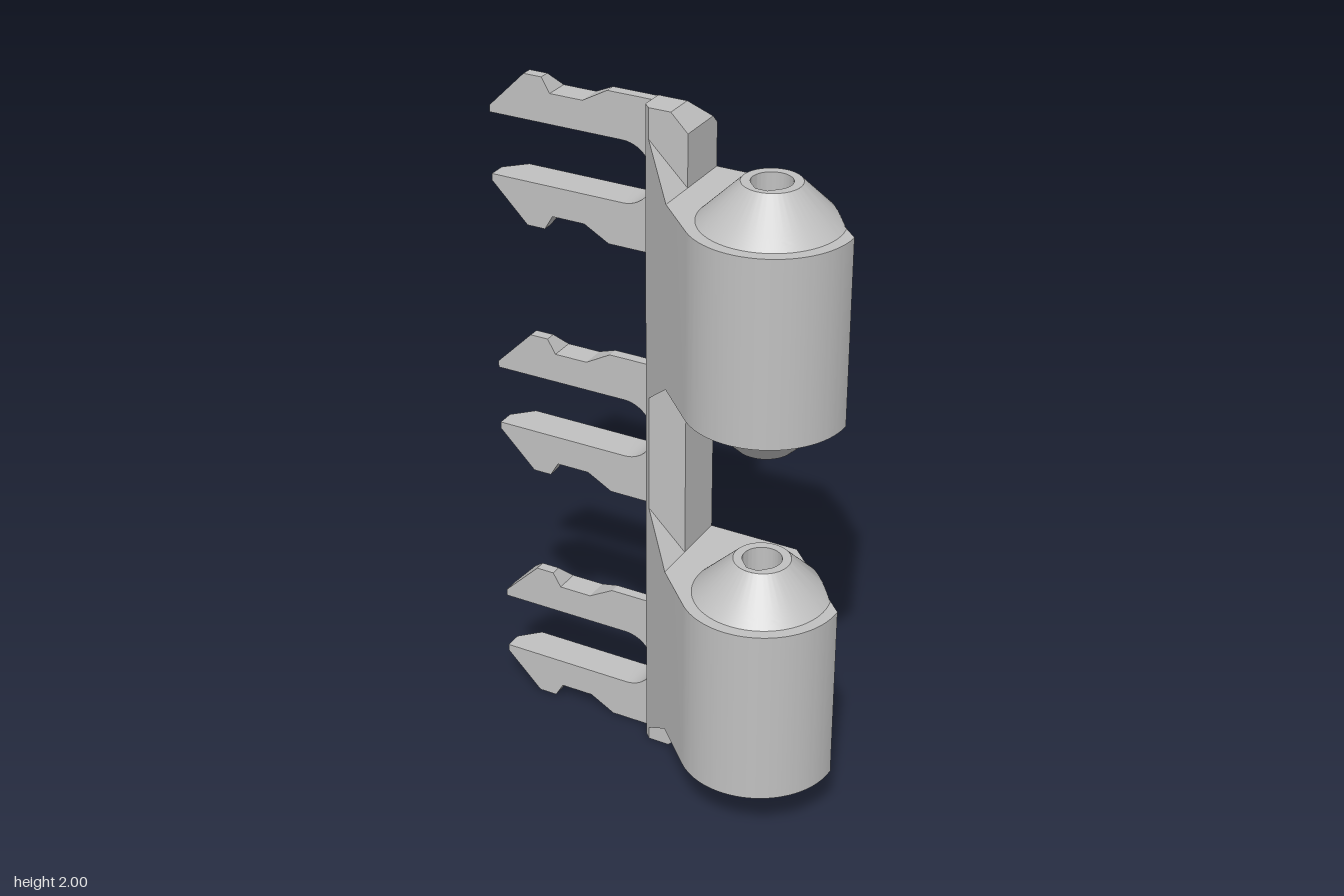
import * as THREE from 'three';
import { toCreasedNormals } from 'three/addons/utils/BufferGeometryUtils.js';

const grey = new THREE.MeshStandardMaterial({ color: 0xc0c0c0 });
grey.name = 'light grey';

const BACK = -0.235, SPINE_LEFT = -0.07, SPINE_RIGHT = 0.065;
const CX = 0.345, CZ = 0.01; // pin axis of the knuckles

function part(name, geometry, crease = 0.5) {
  const mesh = new THREE.Mesh(toCreasedNormals(geometry, crease), grey);
  mesh.name = name;
  return mesh;
}

// Skin and cap a row of convex sections (arrays of [x, y, z]), facing outward
function loft(sections) {
  const n = sections[0].length, pos = sections.flat(2), tris = [];
  for (let s = 0; s < sections.length - 1; s++) {
    for (let i = 0; i < n; i++) {
      const a = s * n + i, b = s * n + (i + 1) % n;
      tris.push([a, b, b + n], [a, b + n, a + n]);
    }
  }
  const last = (sections.length - 1) * n;
  for (let i = 1; i < n - 1; i++) {
    tris.push([0, i + 1, i], [last, last + i, last + i + 1]);
  }
  const v = (i) => new THREE.Vector3().fromArray(pos, i * 3);
  const volume = tris.reduce((sum, [a, b, c]) => sum + v(a).dot(v(b).cross(v(c))), 0);
  const geo = new THREE.BufferGeometry();
  geo.setAttribute('position', new THREE.Float32BufferAttribute(pos, 3));
  geo.setIndex(tris.flatMap(([a, b, c]) => (volume > 0 ? [a, b, c] : [a, c, b])));
  return geo;
}

// Extrude a plan shape (x, -z) upward from y0 to y1
function upright(shape, y0, y1) {
  return new THREE.ExtrudeGeometry(shape, { depth: y1 - y0, bevelEnabled: false, curveSegments: 32 })
    .rotateX(-Math.PI / 2).translate(0, y0, 0);
}

// Spine: bevelled at the back and right of both ends
function spine() {
  return part('spine', loft([0, 0.05, 0.075, 1.925, 1.95, 2].map((y) => {
    const end = Math.min(y, 2 - y);
    const xr = Math.min(SPINE_RIGHT, 0.015 + end), zb = Math.max(BACK, -0.16 - end);
    return [[SPINE_LEFT, y, zb], [SPINE_LEFT, y, -0.09], [-0.05, y, -0.07], [xr, y, -0.07], [xr, y, zb]];
  })), 0.2);
}

// One prong of a clip: outer edge notched and bevelled, inner edge rounding into the slot
const edge = [[-0.57, 0.11], [-0.46, 0.22], [-0.405, 0.22], [-0.38, 0.178], [-0.28, 0.178], [-0.205, 0.22], [-0.07, 0.22]];
function outerEdge(x) {
  const i = Math.max(1, edge.findIndex((p) => p[0] >= x - 1e-9));
  const [[x0, y0], [x1, y1]] = [edge[i - 1], edge[i]];
  return y0 + (y1 - y0) * (x - x0) / (x1 - x0);
}
function prong(name, centre, side) {
  const R = 0.09, slotX = SPINE_LEFT - R;
  const stations = [-0.57, -0.525, -0.515, -0.46, -0.405, -0.38, -0.28, -0.205];
  for (let i = 0; i <= 12; i++) stations.push(slotX + R * Math.sin(i / 12 * Math.PI / 2));
  stations[stations.length - 1] = SPINE_LEFT;
  return part(name, loft(stations.map((x) => {
    const dx = Math.max(0, x - slotX);
    const inner = Math.sqrt(Math.max(0, R * R - dx * dx)), outer = outerEdge(x);
    const zb = Math.max(BACK, -0.75 - x);
    const zc = Math.max(-0.16 - (0.22 - outer), zb);
    const bevel = Math.min(outer, 0.38 + zb);
    return [[inner, -0.128], [outer, -0.128], [outer, zc], [bevel, zb], [inner, zb]]
      .map(([y, z]) => [x, centre + side * y, z]);
  })), 0.3);
}

// Plan of the knuckle body: round front, flat back, slanted back corner
function bodyShape() {
  const s = new THREE.Shape();
  s.moveTo(SPINE_RIGHT, -BACK);
  s.lineTo(SPINE_RIGHT, -0.048);
  s.absarc(CX, -CZ, 0.225, Math.PI * 1.25, Math.PI * 2, false);
  s.lineTo(0.57, 0);
  s.lineTo(0.335, -BACK);
  s.closePath();
  s.holes.push(new THREE.Path().absarc(CX, -CZ, 0.07, 0, Math.PI * 2, true));
  return s;
}

// Sleeve with a teardrop bore flattened at its front
function sleeveShape() {
  const s = new THREE.Shape().absarc(CX, -CZ, 0.08, 0, Math.PI * 2, false);
  const bore = new THREE.Path();
  bore.absarc(CX, -CZ, 0.055, -Math.PI / 4, Math.PI * 1.25, false);
  bore.lineTo(CX - 0.017, -CZ - 0.062);
  bore.lineTo(CX + 0.017, -CZ - 0.062);
  bore.closePath();
  s.holes.push(bore);
  return s;
}

// Conical end, cut by the slanted face of the body
function cone(y, dir) {
  const rings = [0, 0.04, 0.08, 0.12, 0.16, 0.2, 0.24, 1]
    .map((t) => new THREE.Vector2(0.192 - 0.112 * t, y + dir * 0.11 * t));
  if (dir < 0) rings.reverse();
  const geo = new THREE.LatheGeometry(rings, 96), p = geo.attributes.position;
  const limit = (0.57 - CX + CZ) / Math.SQRT2;
  for (let i = 0; i < p.count; i++) {
    const reach = (p.getX(i) - p.getZ(i)) / Math.SQRT2;
    const k = reach > limit ? limit / reach : 1;
    p.setXYZ(i, p.getX(i) * k, p.getY(i), p.getZ(i) * k);
  }
  return geo.translate(CX, 0, CZ);
}

function knuckle(y0, y1) {
  const g = new THREE.Group();
  g.name = 'hingeKnuckle';
  g.add(part('knuckleBody', upright(bodyShape(), y0, y1)));
  g.add(part('pinSleeve', upright(sleeveShape(), y0 - 0.11, y1 + 0.11)));
  g.add(part('upperCone', cone(y1, 1)), part('lowerCone', cone(y0, -1)));
  // Gusset joining body to spine, sloped at both ends
  const tri = (y, dir) => [[-0.05, y + dir * 0.113, -0.07], [SPINE_RIGHT, y, -0.07], [SPINE_RIGHT, y, 0.048]];
  g.add(part('gusset', loft([tri(y0, -1), tri(y1, 1)])));
  return g;
}

export function createModel() {
  const model = new THREE.Group();
  model.name = 'hingeClip';
  model.add(spine());
  for (const centre of [0.222, 1, 1.778]) {
    const clip = new THREE.Group();
    clip.name = 'clip';
    clip.add(prong('upperProng', centre, 1), prong('lowerProng', centre, -1));
    model.add(clip);
  }
  model.add(knuckle(0.152, 0.688), knuckle(1.264, 1.8));
  return model;
}
